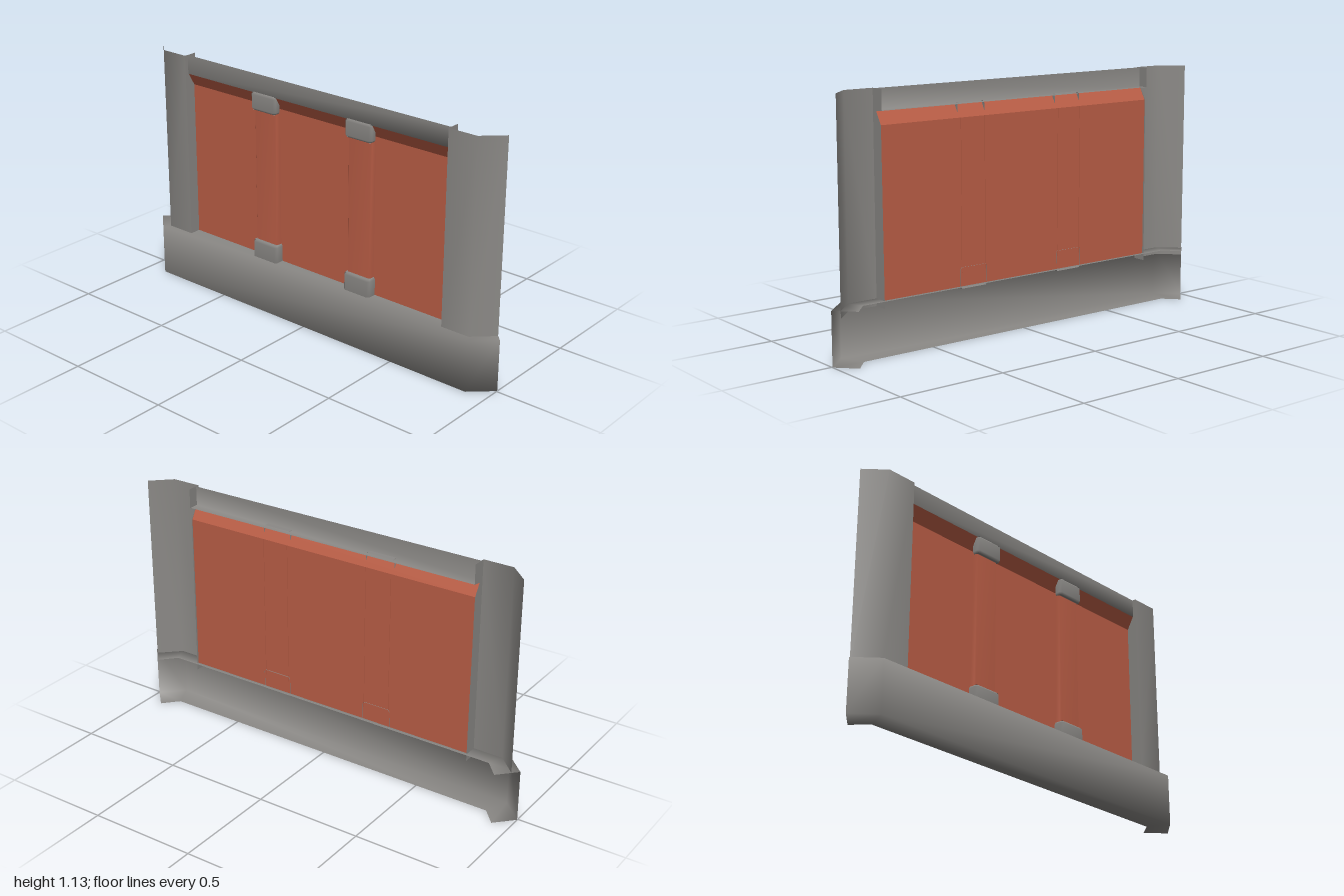
import * as THREE from 'three';

const stone = new THREE.MeshStandardMaterial({ color: 0x8b8986, side: THREE.DoubleSide });
stone.name = 'grey stone';
const clay = new THREE.MeshStandardMaterial({ color: 0xbb5e46, side: THREE.DoubleSide });
clay.name = 'red clay';

// Smooth open sheet lofted through rows of [x, y, z] points (rows of equal length)
function sheet(name, rows, material) {
  const n = rows[0].length, index = [];
  for (let r = 0; r < rows.length - 1; r++) {
    for (let i = 0; i < n - 1; i++) {
      const a = r * n + i, b = a + 1, c = a + n, d = c + 1;
      index.push(a, b, d, a, d, c);
    }
  }
  const g = new THREE.BufferGeometry();
  g.setAttribute('position', new THREE.Float32BufferAttribute(rows.flat(2), 3));
  g.setIndex(index);
  g.computeVertexNormals();
  const mesh = new THREE.Mesh(g, material);
  mesh.name = name;
  return mesh;
}

// Plan outline [x, z] placed at height y
const at = (plan, y) => plan.map(([x, z]) => [x, y, z]);
// Profile point [y, z] stretched across the given half width
const across = (half, y, z) => [[-half, y, z], [half, y, z]];

// Open-backed box whose front corners are slightly bevelled
function bracket(name, x, half, y0, y1, back, front, bevel, material, capped) {
  const plan = (inset, f) => [
    [x - half + inset, back], [x - half + inset, f - bevel], [x - half + inset + bevel, f],
    [x + half - inset - bevel, f], [x + half - inset, f - bevel], [x + half - inset, back]];
  const group = new THREE.Group();
  group.name = name;
  const side = bevel * 0.7;
  const rows = capped
    ? [at(plan(side, front - side), y0), at(plan(0, front), y0 + bevel),
       at(plan(0, front), y1 - bevel), at(plan(side, front - side), y1)]
    : [at(plan(0, front), y0), at(plan(0, front), y1)];
  group.add(sheet(name + 'Shell', rows, material));
  if (capped) {
    // flat closing faces above and below
    for (const [y, flip] of [[y0, true], [y1, false]]) {
      const f = front - side, w = half - side;
      const lines = [across(w, y, f), across(w, y, back)];
      const end = sheet(name + 'End', flip ? lines.reverse() : lines, material);
      end.position.x = x;
      group.add(end);
    }
  }
  return group;
}

export function createModel() {
  const model = new THREE.Group();
  model.name = 'wallPanel';

  // Plinth: front skin with angled ends and a ledge above and below
  const outer = [[-1, -0.005], [-0.9, 0.088], [0.9, 0.088], [1, -0.005]];
  const inner = [[-0.92, -0.088], [-0.855, -0.017], [0.855, -0.017], [0.92, -0.088]];
  model.add(sheet('plinth', [at(inner, 0), at(outer, 0), at(outer, 0.24), at(inner, 0.24)], stone));

  // Corner piers with an inner return that follows the panel profile
  const returnShape = new THREE.Shape([
    [0.053, 0.207], [-0.01, 0.207], [-0.004, 0.98], [0.03, 1.035], [-0.012, 1.04],
    [-0.012, 1.13], [0.053, 1.13]].map(([z, y]) => new THREE.Vector2(z, y)));
  for (const s of [-1, 1]) {
    const plan = [[0.972 * s, -0.033], [0.882 * s, 0.053], [0.742 * s, 0.053]];
    if (s > 0) plan.reverse();
    model.add(sheet(s > 0 ? 'leftPier' : 'rightPier', [at(plan, 0.207), at(plan, 1.13)], stone));
    const side = new THREE.Mesh(new THREE.ShapeGeometry(returnShape), stone);
    side.name = s > 0 ? 'leftPierReturn' : 'rightPierReturn';
    side.rotation.y = -Math.PI / 2; // shape x becomes world z
    side.position.x = 0.742 * s;
    model.add(side);
  }

  // Top rail: upright face with a ledge turned back underneath
  model.add(sheet('topRail', [across(0.742, 1.04, -0.01), across(0.742, 1.04, 0.036),
    across(0.742, 1.13, 0.036)], stone));

  // Clay infill and the sloping strip under the rail
  model.add(sheet('panel', [across(0.742, 0.235, 0), across(0.742, 0.98, 0)], clay));
  model.add(sheet('slopingStrip', [across(0.742, 0.98, 0), across(0.742, 1.04, 0.034)], clay));

  // Two pilasters with a stone block at each end
  for (const x of [-0.272, 0.27]) {
    model.add(bracket('pilaster', x, 0.064, 0.3, 0.98, -0.003, 0.028, 0.006, clay, false));
    model.add(bracket('pilasterFoot', x, 0.072, 0.23, 0.325, -0.003, 0.046, 0.01, stone, true));
    model.add(bracket('pilasterHead', x, 0.072, 0.96, 1.043, 0.012, 0.046, 0.01, stone, true));
  }
  return model;
}
